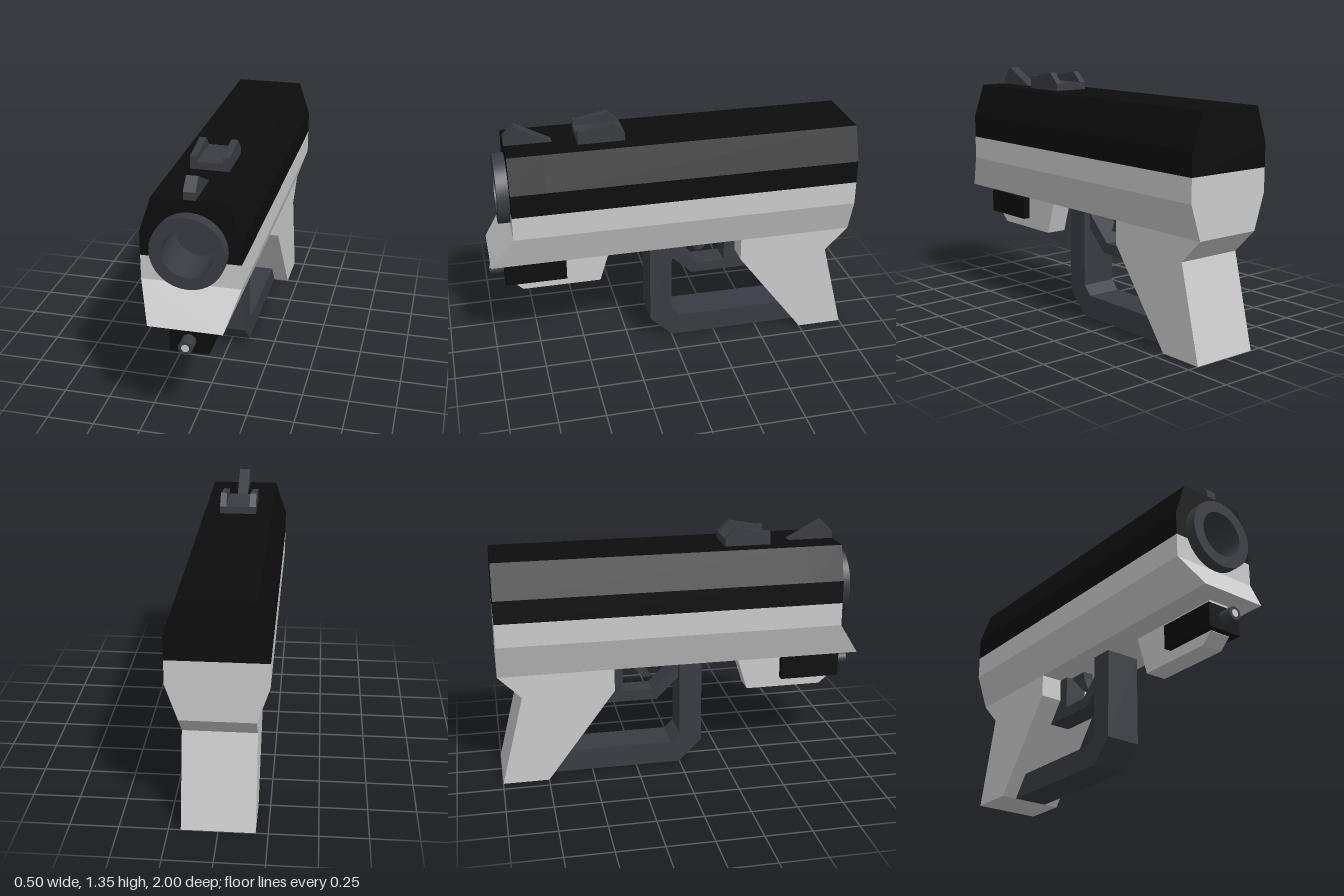
import * as THREE from 'three';
import { toCreasedNormals } from 'three/addons/utils/BufferGeometryUtils.js';

const mat = (color, extra = {}) => new THREE.MeshStandardMaterial({ color, ...extra });

export function createModel() {
  const group = new THREE.Group();
  const light = mat(0xcccccc, { flatShading: true });
  const dark = mat(0x3a3c43, { flatShading: true });
  const black = mat(0x0d0d0d, { flatShading: true });
  const smoothDark = mat(0x3a3c43);

  const add = (name, geometry, material) => {
    const mesh = new THREE.Mesh(geometry, material);
    mesh.name = name;
    group.add(mesh);
    return mesh;
  };
  const toShape = (points) => new THREE.Shape(points.map(([a, b]) => new THREE.Vector2(a, b)));

  // Side profile of [z, y] points, extruded from x0 to x1
  const profile = (points, x0, x1) => {
    const g = new THREE.ExtrudeGeometry(toShape(points), { depth: x1 - x0, bevelEnabled: false });
    return g.rotateY(-Math.PI / 2).translate(x1, 0, 0);
  };
  // Cross-section in x, y, extruded from z0 to z1
  const section = (shape, z0, z1) =>
    new THREE.ExtrudeGeometry(shape, { depth: z1 - z0, bevelEnabled: false, curveSegments: 24 }).translate(0, 0, z0);

  const FRONT = 0.875, BORE_END = 0.69, AXIS = 1.0, SEAM = 0.94, NOTCH = 0.14;
  const chord = Math.sqrt(NOTCH ** 2 - (AXIS - SEAM) ** 2);
  const seamAngle = Math.asin((SEAM - AXIS) / NOTCH);

  // Slide: solid behind the bore, notched around the barrel in front
  const slideOutline = [[0.25, SEAM], [0.25, 1.065], [0.1875, 1.25], [-0.1875, 1.25], [-0.25, 1.065], [-0.25, SEAM]];
  add('slideRear', section(toShape(slideOutline), -1, BORE_END), black);
  const slideNotch = toShape(slideOutline);
  slideNotch.lineTo(-chord, SEAM);
  slideNotch.absarc(0, AXIS, NOTCH, Math.PI - seamAngle, seamAngle, true);
  add('slideFront', section(slideNotch, BORE_END, FRONT), black);

  // Frame: straight upper band, also notched for the barrel
  const bandOutline = [[-0.25, SEAM], [-0.25, 0.8125], [0.25, 0.8125], [0.25, SEAM]];
  add('frameBandRear', section(toShape(bandOutline), -1, BORE_END), light);
  const bandNotch = toShape(bandOutline);
  bandNotch.lineTo(chord, SEAM);
  bandNotch.absarc(0, AXIS, NOTCH, seamAngle, -Math.PI - seamAngle, true);
  add('frameBandFront', section(bandNotch, BORE_END, FRONT), light);

  // Tapered lower frame, its bottom edge raked forward
  const lower = section(toShape([[-0.25, 0.8125], [-0.1875, 0.625], [0.1875, 0.625], [0.25, 0.8125]]), -1, FRONT);
  const pos = lower.attributes.position;
  for (let i = 0; i < pos.count; i++) {
    if (pos.getY(i) < 0.7 && pos.getZ(i) > 0) pos.setZ(i, 1);
  }
  lower.computeVertexNormals();
  add('frameLower', lower, light);

  // Barrel ring with a blind bore
  const barrel = new THREE.LatheGeometry(
    [[0.1875, FRONT - 0.01], [0.1875, 0.9375], [0.125, 0.9375], [0.125, BORE_END + 0.005], [0, BORE_END + 0.005]]
      .map(([r, h]) => new THREE.Vector2(r, h)), 32);
  barrel.rotateX(Math.PI / 2).translate(0, AXIS, 0);
  add('barrel', toCreasedNormals(barrel, 0.6), smoothDark);

  // Grip
  add('grip', profile([[-0.375, 0.625], [-0.375, 0.5], [-0.75, 0], [-1, 0], [-0.875, 0.5], [-1, 0.625]],
    -0.1875, 0.1875), light);

  // Hand guard in front of and below the grip
  add('handGuard', profile([[0.125, 0.625], [0.125, 0.125], [0, 0], [-0.75, 0], [-0.656, 0.125],
    [-0.05, 0.125], [0, 0.175], [0, 0.625]], -0.1, 0.1), dark);

  // Trigger guard and trigger
  add('triggerGuard', profile([[0, 0.585], [0, 0.5], [-0.125, 0.38], [-0.465, 0.38], [-0.375, 0.5],
    [-0.375, 0.625], [-0.3125, 0.625], [-0.3125, 0.44], [-0.15, 0.44]], -0.0625, 0.0625), dark);
  add('trigger', profile([[-0.19, 0.625], [-0.19, 0.59], [-0.15, 0.505], [-0.19, 0.505], [-0.31, 0.625]],
    -0.03, 0.03), dark);

  // Under-barrel mount and pointer
  add('pointerMount', profile([[0.89, 0.625], [0.89, 0.455], [0.83, 0.4], [0.4, 0.4], [0.33, 0.625]],
    -0.06, 0.06), light);
  add('pointerBody', new THREE.BoxGeometry(0.2, 0.13, 0.335), black).position.set(0, 0.5225, 0.7575);
  const nozzle = new THREE.CylinderGeometry(0.036, 0.036, 0.08, 20).rotateX(Math.PI / 2);
  add('pointerNozzle', nozzle, smoothDark).position.set(0, 0.525, 0.959);
  const lens = new THREE.CylinderGeometry(0.02, 0.02, 0.02, 20).rotateX(Math.PI / 2);
  add('pointerLens', lens, mat(0xcccccc)).position.set(0, 0.525, 0.9905);

  // Sights
  add('frontSight', profile([[0.875, 1.25], [0.875, 1.29], [0.815, 1.35], [0.625, 1.25]], -0.03, 0.03), dark);
  add('rearSightBase', new THREE.BoxGeometry(0.13, 0.04, 0.25), dark).position.set(0, 1.27, 0.375);
  const post = [[0.5, 1.25], [0.5, 1.32], [0.465, 1.32], [0.3125, 1.35], [0.25, 1.29], [0.25, 1.25]];
  add('rearSightPostLeft', profile(post, 0.065, 0.1), dark);
  add('rearSightPostRight', profile(post, -0.1, -0.065), dark);

  return group;
}
